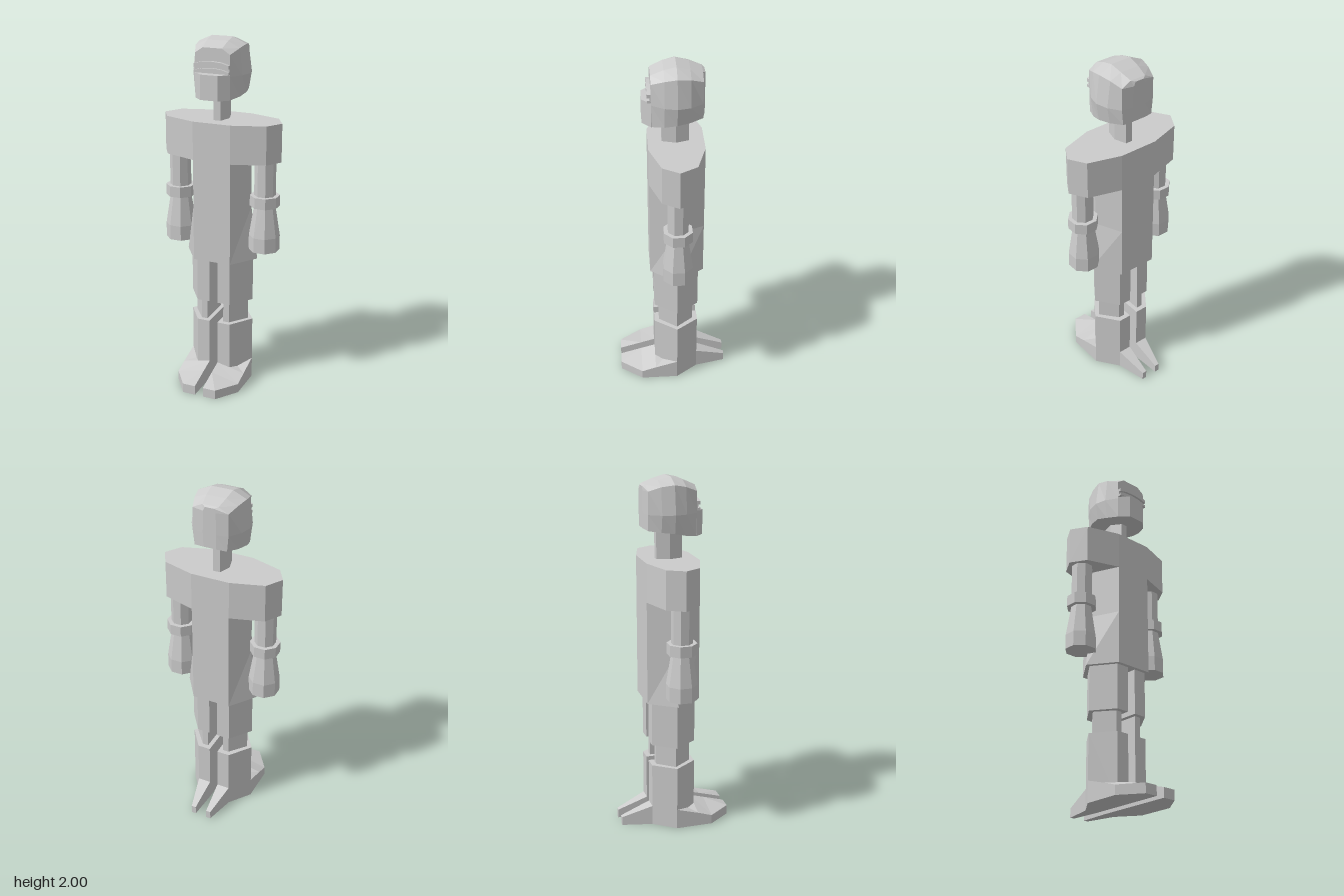
import * as THREE from 'three';

const material = new THREE.MeshStandardMaterial({ color: 0xcccccc, flatShading: true });

// Skin a row of closed loops of [x, y, z] points and cap both ends
function loft(name, loops) {
  const tris = [];
  const n = loops[0].length;
  for (let i = 0; i < loops.length - 1; i++) {
    for (let j = 0; j < n; j++) {
      const k = (j + 1) % n;
      const a = loops[i][j], b = loops[i][k], c = loops[i + 1][k], d = loops[i + 1][j];
      tris.push([a, b, c], [a, c, d]);
    }
  }
  const first = loops[0], last = loops[loops.length - 1];
  for (let j = 1; j < n - 1; j++) {
    tris.push([first[0], first[j + 1], first[j]], [last[0], last[j], last[j + 1]]);
  }
  // Turn every face outward, whichever way the loops run
  let volume = 0;
  for (const [a, b, c] of tris) {
    volume += a[0] * (b[1] * c[2] - b[2] * c[1])
            + a[1] * (b[2] * c[0] - b[0] * c[2])
            + a[2] * (b[0] * c[1] - b[1] * c[0]);
  }
  const faces = volume < 0 ? tris.map(([a, b, c]) => [a, c, b]) : tris;
  const geometry = new THREE.BufferGeometry();
  geometry.setAttribute('position', new THREE.Float32BufferAttribute(faces.flat(2), 3));
  geometry.computeVertexNormals();
  const mesh = new THREE.Mesh(geometry, material);
  mesh.name = name;
  return mesh;
}

// Upright block from an outline of [x, z] points
function prism(name, outline, y0, y1) {
  return loft(name, [y0, y1].map(y => outline.map(([x, z]) => [x, y, z])));
}

// Complete an outline from its +x half
function mirrored(half) {
  return [...half, ...half.slice().reverse().map(([x, ...rest]) => [-x, ...rest])];
}

function createHead() {
  const head = new THREE.Group();
  head.name = 'head';

  // Skull slices, front to back: z, crown x, crown y, temple x, temple y, cheek x, base x, base y
  const slices = [
    [0.113, 0.055, 1.955, 0.1, 1.925, 0.1, 0.098, 1.685],
    [0.045, 0.06, 1.985, 0.127, 1.952, 0.142, 0.128, 1.695],
    [-0.02, 0.06, 2.0, 0.137, 1.965, 0.158, 0.142, 1.71],
    [-0.09, 0.055, 1.982, 0.122, 1.955, 0.142, 0.126, 1.717],
    [-0.155, 0.045, 1.96, 0.1, 1.932, 0.1, 0.092, 1.724],
    [-0.168, 0.025, 1.953, 0.035, 1.93, 0.038, 0.035, 1.73],
  ];
  head.add(loft('skull', slices.map(([z, ax, ay, bx, by, cx, dx, dy]) =>
    mirrored([[ax, ay, z], [bx, by, z], [cx, 1.81, z], [dx, dy, z]]))));

  head.add(prism('jaw', mirrored([[0.1, 0.108], [0.1, 0.113], [0.05, 0.16]]), 1.685, 1.82));

  // Arched visor: two ridges with a shallow band between them
  const arch = [[-0.1, -0.016], [-0.055, -0.004], [0, 0], [0.055, -0.004], [0.1, -0.016]];
  for (const [name, y0, y1, z] of [
    ['visorUpperRidge', 1.868, 1.887, 0.133],
    ['visorBand', 1.85, 1.87, 0.12],
    ['visorLowerRidge', 1.838, 1.852, 0.133],
  ]) {
    head.add(loft(name, arch.map(([x, dy]) =>
      [[x, y0 + dy, 0.1], [x, y0 + dy, z], [x, y1 + dy, z], [x, y1 + dy, 0.1]])));
  }
  return head;
}

function createArm(side) {
  const arm = new THREE.Group();
  arm.name = side > 0 ? 'leftArm' : 'rightArm';
  // Eight-sided ring, given its half width
  const ring = (r, y) => Array.from({ length: 8 }, (_, i) => {
    const a = (i + 0.5) * Math.PI / 4, R = r / Math.cos(Math.PI / 8);
    return [side * 0.257 + R * Math.cos(a), y, -0.016 + R * Math.sin(a)];
  });
  arm.add(
    loft('upperArm', [ring(0.055, 1.36), ring(0.055, 1.12)]),
    loft('cuff', [ring(0.077, 1.145), ring(0.077, 1.083)]),
    loft('forearm', [ring(0.052, 1.1), ring(0.08, 0.91), ring(0.08, 0.825)]),
  );
  return arm;
}

function createLeg(side) {
  const leg = new THREE.Group();
  leg.name = side > 0 ? 'leftLeg' : 'rightLeg';
  const flip = ([x, ...rest]) => [side * x, ...rest];

  const limb = [[0.025, 0.108], [0.1, 0.108], [0.19, -0.02], [0.1, -0.143], [0.025, -0.143]].map(flip);
  const knee = [[0.05, 0.082], [0.085, 0.082], [0.162, -0.02], [0.085, -0.115], [0.05, -0.115]].map(flip);
  leg.add(
    prism('thigh', limb, 0.5, 0.77),
    prism('knee', knee, 0.36, 0.51),
    prism('shin', limb, 0.0, 0.375),
  );

  // Foot slices, toe to heel: z, inner x, outer x, inner y, outer y
  const foot = [
    [0.315, 0.025, 0.1, 0.055, 0.055],
    [0.19, 0.025, 0.19, 0.092, 0.053],
    [0.108, 0.025, 0.19, 0.116, 0.08],
    [-0.02, 0.025, 0.19, 0.118, 0.118],
    [-0.143, 0.025, 0.1, 0.116, 0.116],
    [-0.315, 0.035, 0.062, 0.05, 0.05],
  ];
  leg.add(loft('foot', foot.map(([z, xi, xo, yi, yo]) =>
    [[xi, 0, z], [xo, 0, z], [xo, yo, z], [xi, yi, z]].map(flip))));
  return leg;
}

export function createModel() {
  const model = new THREE.Group();
  model.name = 'figure';

  // Six-sided torso flaring towards the hem
  const torsoRing = (w, y) => mirrored([[0.11, y, 0.13], [w, y, -0.02], [0.11, y, -0.17]]);
  model.add(loft('torso', [torsoRing(0.215, 0.757), torsoRing(0.175, 1.06), torsoRing(0.175, 1.35)]));

  model.add(prism('shoulders',
    mirrored([[0.11, 0.13], [0.293, 0.07], [0.348, -0.02], [0.293, -0.115], [0.11, -0.17]]),
    1.34, 1.555));
  model.add(prism('neck', mirrored([[0.02, 0.055], [0.042, -0.02], [0.02, -0.09]]), 1.55, 1.72));

  model.add(createHead());
  for (const side of [1, -1]) model.add(createArm(side), createLeg(side));
  return model;
}
